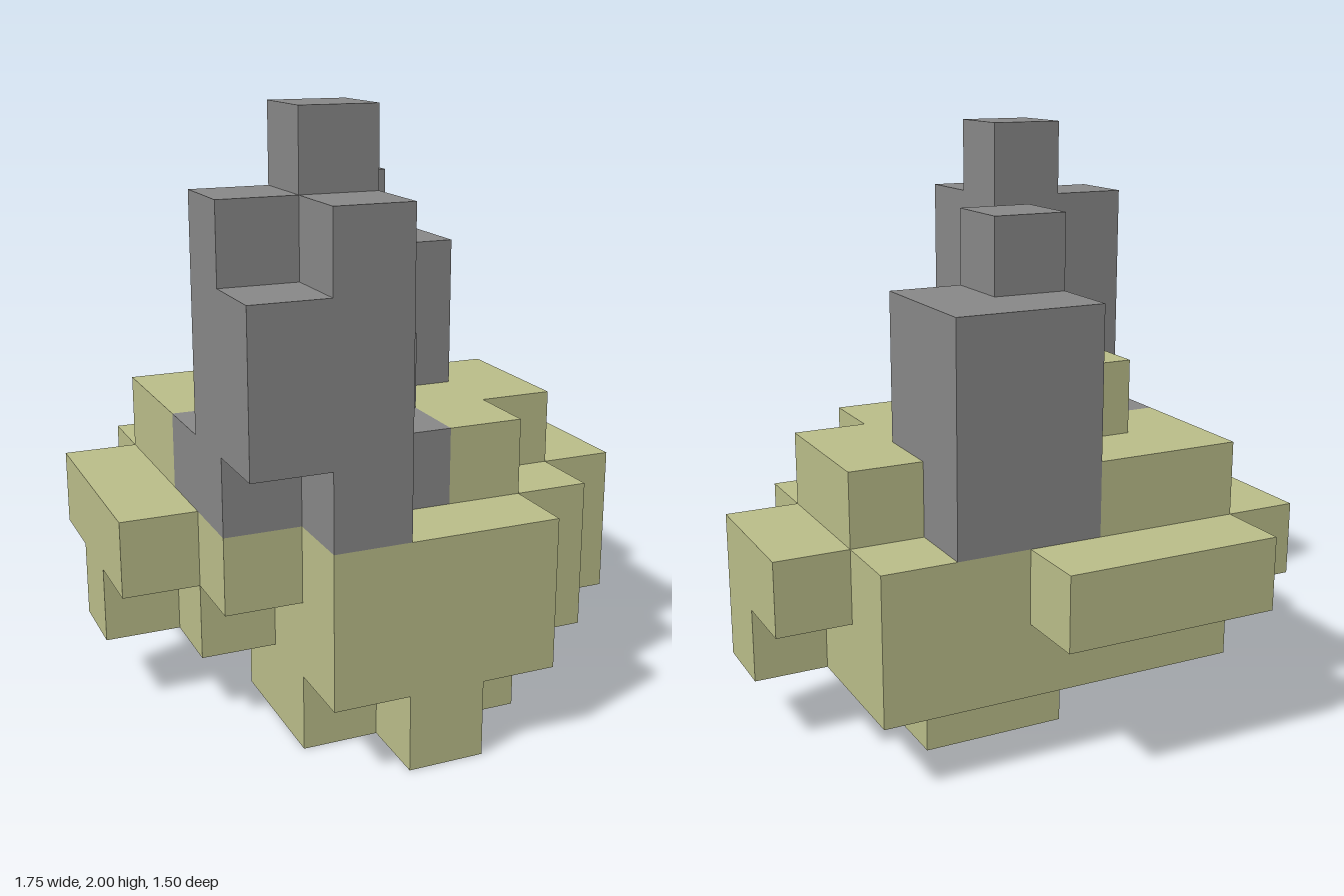
import * as THREE from 'three';
import { mergeGeometries } from 'three/addons/utils/BufferGeometryUtils.js';

const CELL = 0.25;

// Grid cells of a block: lowest corner cell, then how many cells wide, high and deep
function block(x, y, z, wide = 1, high = 1, deep = 1) {
  const cells = [];
  for (let i = 0; i < wide; i++)
    for (let j = 0; j < high; j++)
      for (let k = 0; k < deep; k++)
        cells.push(new THREE.Vector3(x + i, y + j, z + k));
  return cells;
}

const keyOf = (cell) => cell.toArray().join();

// The six outward directions of a cube
const DIRECTIONS = [];
for (const axis of ['x', 'y', 'z'])
  for (const sign of [1, -1])
    DIRECTIONS.push(new THREE.Vector3()['set' + axis.toUpperCase()](sign));

// Keep only the cube faces that are not covered by a neighbouring cell
function shell(cells, filled) {
  const front = new THREE.Vector3(0, 0, 1);
  const quads = [];
  for (const cell of cells) {
    for (const direction of DIRECTIONS) {
      if (filled.has(keyOf(cell.clone().add(direction)))) continue;
      const turn = new THREE.Quaternion().setFromUnitVectors(front, direction);
      const quad = new THREE.PlaneGeometry(1, 1).applyQuaternion(turn);
      const centre = cell.clone().addScaledVector(direction, 0.5);
      quads.push(quad.translate(centre.x - 3, centre.y + 0.5, centre.z - 2.5));
    }
  }
  return mergeGeometries(quads).scale(CELL, CELL, CELL);
}

export function createModel() {
  const olive = new THREE.MeshStandardMaterial({ name: 'olive', color: 0xbbbe8a });
  const grey = new THREE.MeshStandardMaterial({ name: 'grey', color: 0x888888 });

  const parts = [];
  const addPart = (name, material, ...blocks) =>
    parts.push({ name, material, cells: blocks.flat() });

  // Stepped base
  addPart('foot', olive, block(2, 0, 3, 3, 1, 2), block(3, 0, 2, 2), block(3, 0, 5));
  addPart('body', olive,
    block(1, 1, 1, 5, 2, 3), block(2, 1, 4, 4, 2), block(2, 1, 5, 3, 2));
  addPart('rightFlank', olive, block(0, 2, 1, 1, 1, 3), block(0, 1, 2), block(1, 2, 4));
  addPart('leftFlank', olive, block(6, 2, 2, 1, 1, 2), block(6, 1, 3));
  addPart('rearLip', olive, block(1, 2, 0, 3));

  // Raised ledges on the base
  addPart('rearLedge', olive, block(1, 3, 1, 2, 1, 2), block(2, 4, 2));
  addPart('sideLedge', olive, block(4, 3, 3, 1, 1, 2), block(5, 3, 2, 1, 1, 2));

  // Grey towers and the low bridge between them
  addPart('rearTower', grey, block(3, 3, 1, 2, 3, 2), block(3, 6, 2));
  addPart('bridge', grey, block(1, 3, 3), block(2, 3, 3, 2, 2), block(3, 3, 4));
  addPart('frontTower', grey,
    block(2, 3, 4, 1, 5), block(2, 3, 5, 1, 4), block(1, 3, 4, 1, 4), block(1, 4, 5, 1, 2));

  const filled = new Set(parts.flatMap((part) => part.cells.map(keyOf)));
  const model = new THREE.Group();
  model.name = 'blockTowers';
  for (const { name, material, cells } of parts) {
    const mesh = new THREE.Mesh(shell(cells, filled), material);
    mesh.name = name;
    model.add(mesh);
  }
  return model;
}
